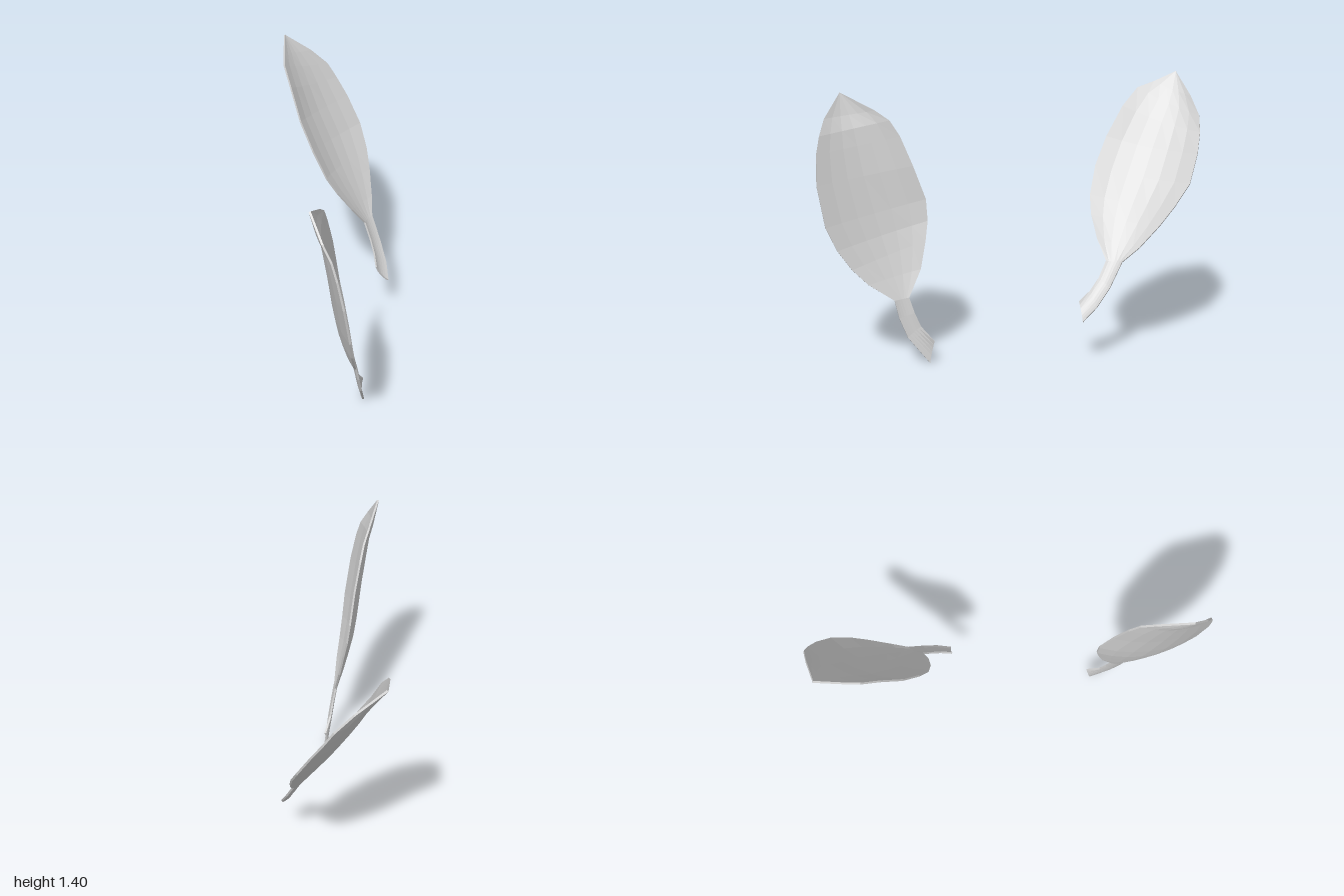
import * as THREE from 'three';

const COLS = 6, THICK = 0.01, CUP = 0.09;

// Each row is a cross-section: one edge (x, y, z), then the other; stem end to tip.
const FRONT_LEAF = [
  [0.12, 0, 0.46, 0.115, 0.115, 0.435],
  [0.105, 0.14, 0.57, 0.09, 0.19, 0.5],
  [0.09, 0.24, 0.61, 0.08, 0.26, 0.53],
  [0.075, 0.33, 0.63, 0.065, 0.34, 0.555],
  [0.07, 0.42, 0.76, 0.04, 0.48, 0.49],
  [0.06, 0.5, 0.84, 0.015, 0.62, 0.46],
  [0.05, 0.6, 0.91, -0.005, 0.72, 0.445],
  [0.04, 0.72, 0.965, -0.02, 0.83, 0.45],
  [0.01, 0.93, 1.0, -0.04, 1.0, 0.51],
  [-0.02, 1.08, 0.995, -0.065, 1.15, 0.57],
  [-0.045, 1.17, 0.975, -0.08, 1.23, 0.62],
  [-0.085, 1.25, 0.945, -0.1, 1.28, 0.69],
  [-0.14, 1.37, 0.86, -0.14, 1.37, 0.86],
];
const BACK_LEAF = [
  [0.21, 0.31, -0.3, 0.275, 0.22, -0.305],
  [0.2, 0.36, -0.36, 0.265, 0.29, -0.38],
  [0.18, 0.42, -0.41, 0.235, 0.38, -0.455],
  [0.15, 0.5, -0.455, 0.19, 0.5, -0.53],
  [0.08, 0.6, -0.425, 0.19, 0.57, -0.62],
  [0, 0.71, -0.412, 0.18, 0.68, -0.73],
  [-0.06, 0.8, -0.42, 0.165, 0.77, -0.81],
  [-0.13, 0.94, -0.465, 0.13, 0.88, -0.9],
  [-0.195, 1.08, -0.54, 0.06, 1.02, -0.96],
  [-0.245, 1.23, -0.64, 0, 1.12, -0.99],
  [-0.28, 1.32, -0.73, -0.05, 1.2, -1.0],
  [-0.28, 1.35, -0.82, -0.14, 1.29, -0.98],
  [-0.28, 1.4, -0.94, -0.28, 1.4, -0.94],
];
const STEM_ROWS = 3; // rows before the blade begins

const edges = (r) => [new THREE.Vector3(r[0], r[1], r[2]), new THREE.Vector3(r[3], r[4], r[5])];

// Normal of the upper side, from the widest chord and the length of the blade
function leafNormal(rows) {
  const [a, b] = edges(rows[7]);
  const along = edges(rows[rows.length - 1])[0].sub(edges(rows[STEM_ROWS])[0]);
  return b.sub(a).cross(along).normalize();
}

// Closed ring of points: cupped upper side, then the underside back again
function ring(row, normal) {
  const [a, b] = edges(row);
  const depth = CUP * a.distanceTo(b);
  const upper = [], lower = [];
  for (let j = 0; j <= COLS; j++) {
    const u = (2 * j) / COLS - 1;
    const p = a.clone().lerp(b, j / COLS).addScaledVector(normal, -depth * (1 - u * u));
    upper.push(p.clone().addScaledVector(normal, THICK / 2));
    lower.unshift(p.addScaledVector(normal, -THICK / 2));
  }
  return [...upper, ...lower];
}

// Skin over consecutive rings, with a cap on the first or last if asked
function loft(rows, normal, capStart) {
  const rings = rows.map((r) => ring(r, normal));
  const n = rings[0].length, pos = [];
  const tri = (a, b, c) => {
    const area = b.clone().sub(a).cross(c.clone().sub(a)).length();
    if (area > 1e-9) for (const p of [a, b, c]) pos.push(p.x, p.y, p.z);
  };
  for (let i = 0; i + 1 < rings.length; i++) {
    for (let j = 0; j < n; j++) {
      const k = (j + 1) % n;
      tri(rings[i][j], rings[i][k], rings[i + 1][j]);
      tri(rings[i][k], rings[i + 1][k], rings[i + 1][j]);
    }
  }
  if (capStart) {
    const r = rings[0];
    for (let j = 0; j < COLS; j++) {
      tri(r[j], r[n - 1 - j], r[j + 1]);
      tri(r[j + 1], r[n - 1 - j], r[n - 2 - j]);
    }
  }
  const geo = new THREE.BufferGeometry();
  geo.setAttribute('position', new THREE.Float32BufferAttribute(pos, 3));
  geo.computeVertexNormals();
  return geo;
}

function makeLeaf(name, rows, material) {
  const leaf = new THREE.Group();
  leaf.name = name;
  const normal = leafNormal(rows);
  const stem = new THREE.Mesh(loft(rows.slice(0, STEM_ROWS + 1), normal, true), material);
  stem.name = 'stem';
  const blade = new THREE.Mesh(loft(rows.slice(STEM_ROWS), normal, false), material);
  blade.name = 'blade';
  leaf.add(stem, blade);
  return leaf;
}

export function createModel() {
  const group = new THREE.Group();
  group.name = 'leaves';
  const material = new THREE.MeshStandardMaterial({
    color: 0xcccccc, flatShading: true, side: THREE.DoubleSide,
  });
  group.add(makeLeaf('frontLeaf', FRONT_LEAF, material));
  group.add(makeLeaf('backLeaf', BACK_LEAF, material));
  return group;
}
